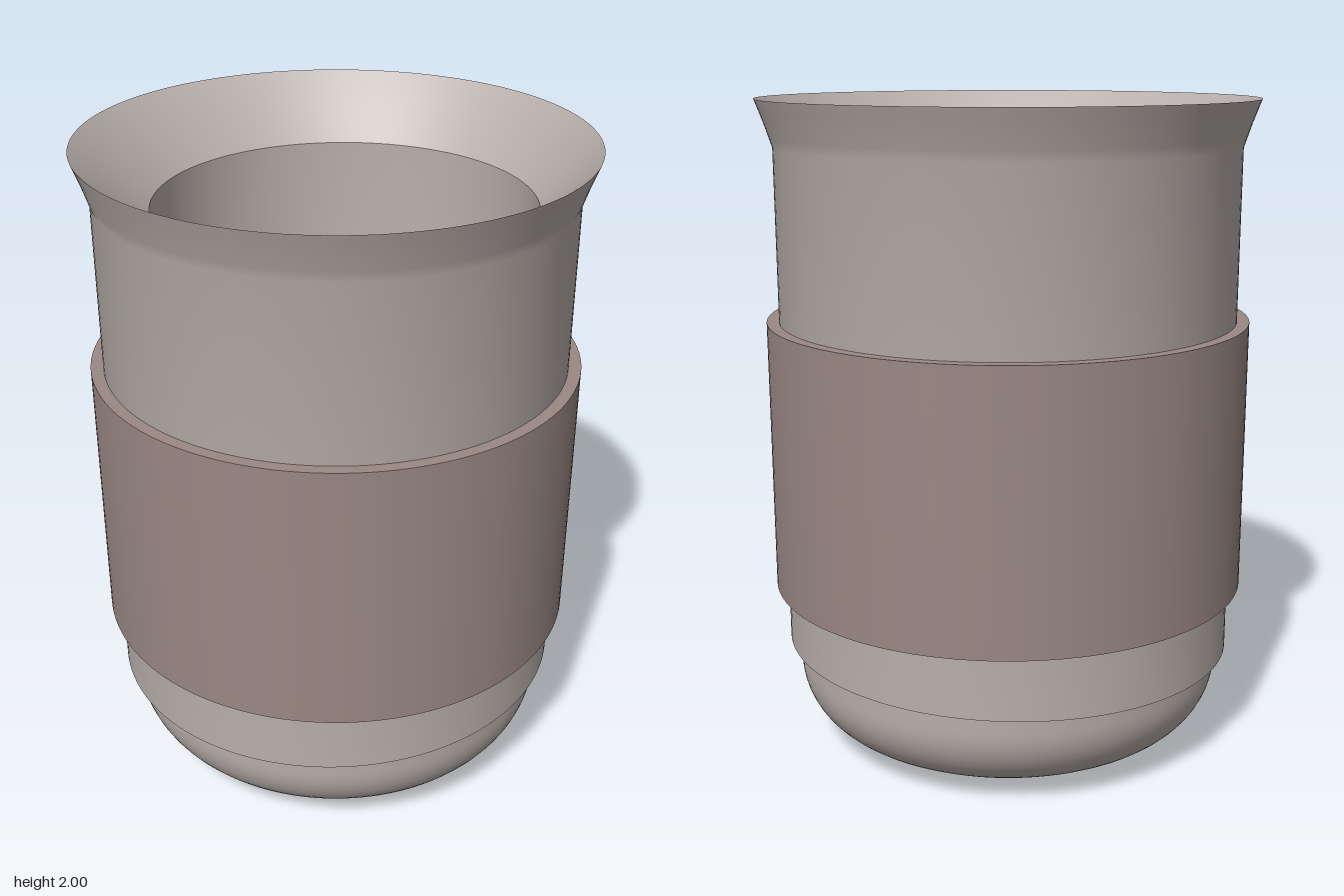
import * as THREE from 'three';
import { toCreasedNormals } from 'three/addons/utils/BufferGeometryUtils.js';

const SEGMENTS = 128;

// Revolve a profile, optionally move its vertices by a rule, keep sharp edges
function turned(name, profile, material, rule) {
  const points = profile.map(([r, y]) => new THREE.Vector2(r, y));
  const geometry = new THREE.LatheGeometry(points, SEGMENTS);
  if (rule) {
    const pos = geometry.attributes.position;
    const v = new THREE.Vector3();
    for (let i = 0; i < pos.count; i++) {
      rule(v.fromBufferAttribute(pos, i));
      pos.setXYZ(i, v.x, v.y, v.z);
    }
  }
  const mesh = new THREE.Mesh(toCreasedNormals(geometry, 0.6), material);
  mesh.name = name;
  return mesh;
}

export function createModel() {
  const group = new THREE.Group();
  group.name = 'cup';
  const ceramic = new THREE.MeshStandardMaterial({ color: 0xb8afaa });
  ceramic.name = 'warm grey';
  const band = new THREE.MeshStandardMaterial({ color: 0x9a8884 });
  band.name = 'mauve brown';

  // Outer wall with its flared lip; the lower edge is slightly slanted
  group.add(turned('outerWall', [
    [0.64, 0.318], [0.698, 0.318], [0.698, 1.86], [0.708, 1.89],
    [0.721, 1.93], [0.734, 1.965], [0.747, 2],
  ], ceramic, (v) => {
    if (v.y < 1) v.y += 0.017 * (v.x - v.z);
  }));

  // Funnel, inner wall and floor; the bore sits slightly off centre
  group.add(turned('innerWall', [
    [0.747, 2], [0.685, 1.94], [0.62, 1.87], [0.56, 1.81],
    [0.56, 0.26], [0.545, 0.21], [0.51, 0.18], [0.47, 0.18], [0.42, 0.19], [0, 0.19],
  ], ceramic, (v) => {
    const t = Math.min(1, (2 - v.y) / 0.19);
    v.x += 0.01 * t;
    v.z -= 0.028 * t;
  }));

  // Rounded base, with a recess in the middle and a lopsided ridge around it
  const base = [];
  for (let i = 0; i <= 18; i++) base.push([i * 0.025, 0.04]);
  for (let i = 1; i <= 14; i++) {
    const a = (i / 14) * Math.PI / 2;
    base.push([0.45 + 0.215 * Math.sin(a), 0.26 - 0.22 * Math.cos(a)]);
  }
  base.push([0.665, 0.36]);
  group.add(turned('base', base, ceramic, (v) => {
    const r = Math.hypot(v.x, v.z);
    const lean = r > 0 ? 0.5 + (v.z - v.x) / (r * 2 * Math.SQRT2) : 0.5;
    v.y -= 0.04 * lean * Math.exp(-(((r - 0.34) / 0.11) ** 2));
    v.y += 0.035 * Math.exp(-((r / 0.14) ** 2));
  }));

  // Grip sleeve around the middle
  group.add(turned('sleeve', [
    [0.69, 0.515], [0.735, 0.515], [0.735, 1.343], [0.69, 1.343],
  ], band));

  return group;
}
